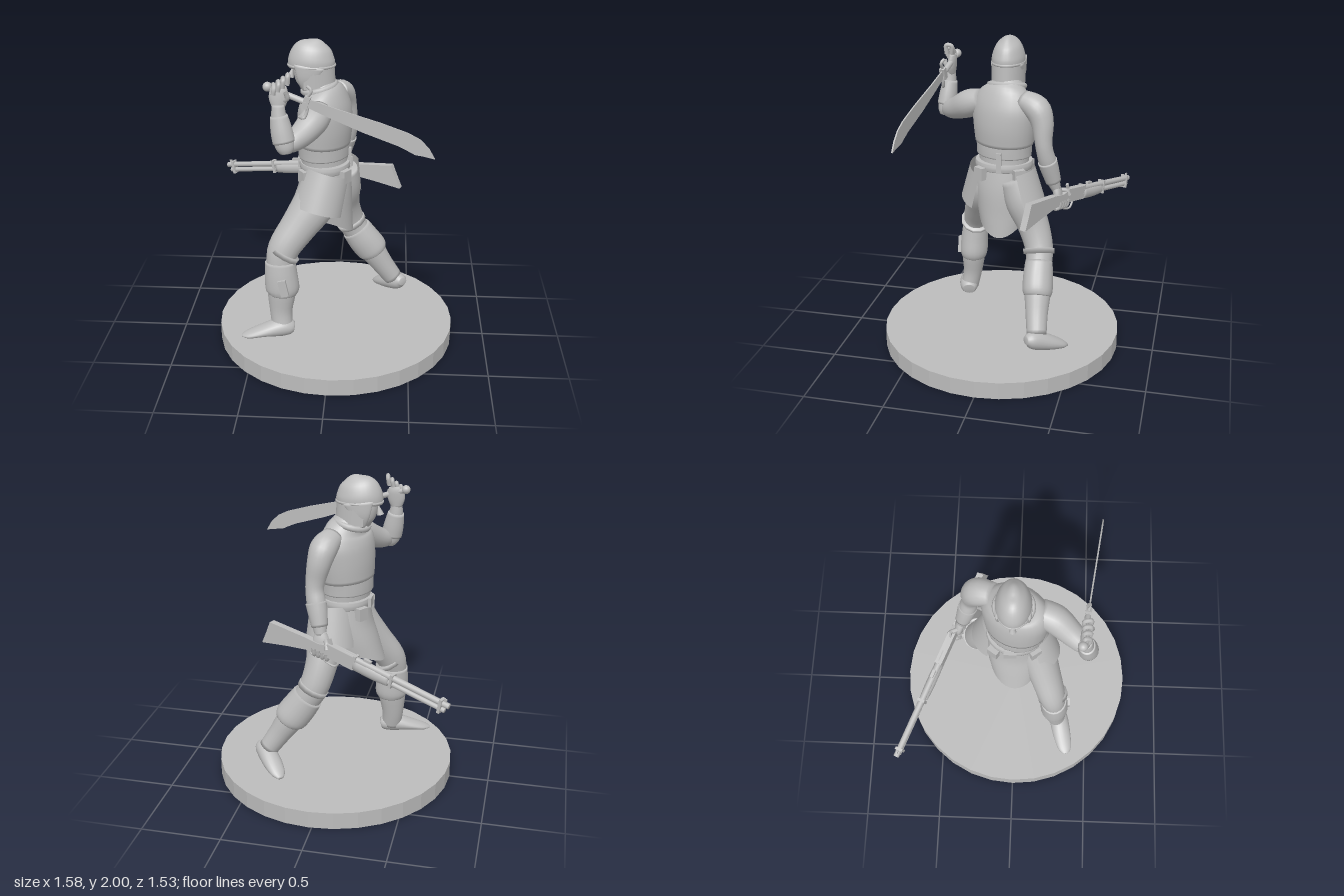
import * as THREE from 'three';

const V = (x, y, z) => new THREE.Vector3(x, y, z);
const stone = new THREE.MeshStandardMaterial({ color: 0xbcbcbc, side: THREE.DoubleSide });
stone.name = 'plain grey';

// Smooth skin through rings [x, y, z, radiusU, radiusV]; U follows the ref direction.
function loft(rings, { ref = V(-1, 0, 0), seg = 20, sub = 4, caps = true } = {}) {
  const rows = [], n = rings.length, at = i => rings[Math.max(0, Math.min(n - 1, i))];
  for (let i = 0; i < n - 1; i++) {
    for (let s = 0; s < sub; s++) {
      const t = s / sub, [a, b, c, d] = [at(i - 1), at(i), at(i + 1), at(i + 2)];
      rows.push(b.map((_, k) => 0.5 * (2 * b[k] + (c[k] - a[k]) * t + (2 * a[k] - 5 * b[k] + 4 * c[k] - d[k]) * t * t
        + (3 * b[k] - a[k] - 3 * c[k] + d[k]) * t ** 3)));
    }
  }
  rows.push(rings[n - 1]);
  const pos = [], idx = [], last = rows.length - 1;
  rows.forEach((r, i) => {
    const t = V(...rows[Math.min(i + 1, last)]).sub(V(...rows[Math.max(i - 1, 0)])).normalize();
    const u = ref.clone().addScaledVector(t, -ref.dot(t)).normalize(), v = t.clone().cross(u);
    for (let j = 0; j < seg; j++) {
      const a = j / seg * Math.PI * 2;
      const p = V(...r).addScaledVector(u, Math.cos(a) * r[3]).addScaledVector(v, Math.sin(a) * r[4]);
      pos.push(p.x, p.y, p.z);
      if (i < last) {
        const k = (j + 1) % seg, A = i * seg, B = A + seg;
        idx.push(A + j, A + k, B + k, A + j, B + k, B + j);
      }
    }
  });
  if (caps) {
    const c0 = pos.length / 3, e = last * seg;
    pos.push(...rows[0].slice(0, 3), ...rows[last].slice(0, 3));
    for (let j = 0; j < seg; j++) {
      const k = (j + 1) % seg;
      idx.push(c0, k, j, c0 + 1, e + j, e + k);
    }
  }
  const g = new THREE.BufferGeometry();
  g.setAttribute('position', new THREE.Float32BufferAttribute(pos, 3));
  g.setIndex(idx);
  g.computeVertexNormals();
  return g;
}

function add(parent, name, geo, p = [0, 0, 0], r = [0, 0, 0], s = [1, 1, 1]) {
  const m = new THREE.Mesh(geo, stone);
  m.name = name;
  m.position.set(...p);
  m.rotation.set(...r);
  m.scale.set(...s);
  parent.add(m);
  return m;
}
const box = (...a) => new THREE.BoxGeometry(...a);
const ball = r => new THREE.SphereGeometry(r, 16, 12);
const tube = (pts, r) => new THREE.TubeGeometry(new THREE.CatmullRomCurve3(pts.map(p => V(...p))), 20, r, 7);
// Straight rod between two points
const rod = (a, b, ra, rb = ra) => loft([[...a, ra, ra], [...b, rb, rb]], { ref: V(0.1, 0.2, 1), seg: 12, sub: 1 });
const plate = (pts, depth) => new THREE.ExtrudeGeometry(new THREE.Shape(pts.map(p => new THREE.Vector2(...p))),
  { depth, bevelEnabled: false }).translate(0, 0, -depth / 2);

function makeRifle() {
  const g = new THREE.Group();
  g.name = 'rifle';
  const X = V(1, 0.21, 0.41).normalize(), Z = X.clone().cross(V(0, 1, 0)).normalize(), Y = Z.clone().cross(X);
  g.quaternion.setFromRotationMatrix(new THREE.Matrix4().makeBasis(X, Y, Z));
  g.position.set(-0.785, 0.87, -0.715);
  add(g, 'barrel', rod([0, 0.02, 0], [0.72, 0.02, 0], 0.018, 0.021));
  add(g, 'magazineTube', rod([0.02, -0.018, 0], [0.7, -0.018, 0], 0.016));
  add(g, 'foreStock', loft([[0.4, -0.01, 0, 0.034, 0.026], [0.5, -0.012, 0, 0.04, 0.03], [0.64, -0.012, 0, 0.04, 0.028]], { ref: V(0, 1, 0) }));
  for (const x of [0.05, 0.38, 0.64]) add(g, 'barrelBand', box(0.018, 0.088, 0.046), [x, 0.002, 0]);
  add(g, 'frontSight', box(0.02, 0.02, 0.008), [0.03, 0.046, 0]);
  add(g, 'rearSight', box(0.05, 0.015, 0.02), [0.56, 0.048, 0]);
  add(g, 'receiver', box(0.2, 0.085, 0.045), [0.74, -0.003, 0]);
  add(g, 'hammer', box(0.02, 0.045, 0.012), [0.83, 0.05, 0], [0, 0, -0.5]);
  add(g, 'lever', tube([[0.74, -0.04, 0], [0.77, -0.09, 0], [0.84, -0.09, 0], [0.88, -0.075, 0], [0.95, -0.085, 0], [0.97, -0.055, 0]], 0.007));
  add(g, 'stock', plate([[0.82, 0.036], [0.9, 0.012], [1.0, 0.012], [1.27, -0.005], [1.285, -0.08], [1.305, -0.165], [1.12, -0.105], [0.98, -0.065], [0.82, -0.045]], 0.042));
  return g;
}

function makeSword() {
  const g = new THREE.Group();
  g.name = 'sword';
  g.position.z = 0.427;
  g.rotation.y = -0.14;
  add(g, 'blade', plate([[-0.14, 1.765], [0.05, 1.71], [0.3, 1.645], [0.46, 1.595], [0.53, 1.56], [0.58, 1.51], [0.615, 1.45],
    [0.55, 1.462], [0.5, 1.468], [0.46, 1.488], [0.4, 1.515], [0.2, 1.58], [0.03, 1.645], [-0.14, 1.715]], 0.009));
  add(g, 'grip', rod([-0.35, 1.815, 0], [-0.13, 1.738, 0], 0.018));
  add(g, 'pommel', ball(0.028), [-0.355, 1.817, 0]);
  add(g, 'crossGuard', tube([[-0.17, 1.66, 0.02], [-0.145, 1.645, 0.01], [-0.125, 1.69, 0], [-0.125, 1.76, 0], [-0.1, 1.81, 0], [-0.125, 1.83, -0.01]], 0.01));
  add(g, 'guardBlock', box(0.035, 0.075, 0.035), [-0.13, 1.738, 0], [0, 0, -0.33]);
  return g;
}

function makeHead() {
  const g = new THREE.Group();
  g.name = 'head';
  add(g, 'neck', rod([-0.06, 1.64, -0.01], [-0.11, 1.8, -0.01], 0.085, 0.075));
  add(g, 'face', loft([[-0.17, 1.68, -0.01, 0.03, 0.035], [-0.155, 1.72, -0.01, 0.075, 0.065], [-0.14, 1.79, -0.01, 0.105, 0.08], [-0.13, 1.88, -0.01, 0.11, 0.08]]));
  add(g, 'nose', new THREE.ConeGeometry(0.022, 0.07, 8), [-0.25, 1.795, -0.01], [0, 0, -0.25]);
  for (const s of [-1, 1]) add(g, 'cheekGuard', loft([[-0.15, 1.7, -0.01 + s * 0.07, 0.03, 0.014], [-0.15, 1.77, -0.01 + s * 0.087, 0.06, 0.016], [-0.14, 1.85, -0.01 + s * 0.09, 0.09, 0.014]]));
  // Dome with a low crest and a neck guard open at the face
  add(g, 'helmetDome', loft([[-0.13, 1.83, -0.01, 0.142, 0.102], [-0.13, 1.88, -0.01, 0.14, 0.1], [-0.125, 1.945, -0.01, 0.112, 0.076],
    [-0.12, 1.985, -0.01, 0.062, 0.035], [-0.12, 1.998, -0.01, 0.012, 0.008]], { seg: 28 }));
  add(g, 'helmetBand', new THREE.TorusGeometry(1, 0.06, 8, 32), [-0.13, 1.84, -0.01], [Math.PI / 2, 0, 0], [0.14, 0.1, 0.14]);
  add(g, 'neckGuard', new THREE.CylinderGeometry(1, 1.0, 0.13, 24, 4, true, -Math.PI * 0.1, Math.PI * 1.2), [-0.13, 1.775, -0.01], [0, 0, 0.06], [0.142, 1, 0.104]);
  return g;
}

export function createModel() {
  const model = new THREE.Group();
  model.name = 'warriorOnBase';

  // Faceted round base
  const disc = new THREE.CylinderGeometry(0.767, 0.767, 0.11, 32).toNonIndexed();
  disc.computeVertexNormals();
  add(model, 'base', disc, [0.02, 0.055, 0]);

  // Torso, turned slightly toward the rifle side
  const ref = V(-0.92, 0, -0.39);
  add(model, 'abdomen', loft([[-0.04, 1.06, 0, 0.14, 0.17], [-0.05, 1.2, 0, 0.14, 0.165], [-0.055, 1.3, 0, 0.14, 0.17], [-0.055, 1.42, 0, 0.14, 0.18]], { ref }));
  add(model, 'waistWrap', loft([[-0.055, 1.27, 0, 0.152, 0.182], [-0.055, 1.31, 0, 0.152, 0.184], [-0.055, 1.36, 0, 0.15, 0.188]], { ref }));
  add(model, 'vest', loft([[-0.055, 1.35, 0, 0.155, 0.195], [-0.05, 1.46, 0, 0.16, 0.208], [-0.05, 1.57, 0, 0.15, 0.212],
    [-0.055, 1.65, -0.005, 0.125, 0.18], [-0.07, 1.7, -0.01, 0.1, 0.12], [-0.08, 1.735, -0.01, 0.085, 0.09]], { ref, seg: 28 }));
  add(model, 'collar', new THREE.TorusGeometry(0.1, 0.02, 8, 24), [-0.085, 1.7, -0.01], [Math.PI / 2, 0.25, 0], [1, 1.05, 1]);
  add(model, 'belt', loft([[-0.05, 1.185, 0, 0.156, 0.18], [-0.05, 1.21, 0, 0.16, 0.184], [-0.05, 1.235, 0, 0.156, 0.18]], { seg: 28 }));
  add(model, 'backStrap', box(0.02, 0.13, 0.03), [0.105, 1.25, 0]);
  add(model, 'buckle', box(0.02, 0.06, 0.08), [-0.21, 1.21, -0.03]);
  for (const [x, y, z, a] of [[0.08, 1.17, 0.12, -0.6], [0.08, 1.17, -0.12, 0.6], [-0.17, 1.16, 0.12, 0.6], [-0.17, 1.16, -0.13, -0.6]])
    add(model, 'beltPouch', box(0.05, 0.08, 0.07), [x, y, z], [0, a, 0]);

  // Tunic skirt, its hem lifted over the thighs
  const skirt = loft([[-0.05, 1.2, 0, 0.148, 0.172], [-0.05, 1.05, 0, 0.17, 0.185], [-0.07, 0.9, 0, 0.195, 0.18], [-0.085, 0.785, 0, 0.215, 0.165]], { caps: false, seg: 36 });
  const sp = skirt.attributes.position;
  for (let i = 0; i < sp.count; i++) {
    const y = sp.getY(i), z = sp.getZ(i);
    sp.setY(i, y + 3.2 * z * z * Math.max(0, 1.2 - y) / 0.4);
  }
  skirt.computeVertexNormals();
  add(model, 'tunicSkirt', skirt);

  // Hip guards
  for (const [x, s] of [[-0.06, 1], [0.02, -1]])
    add(model, 'hipGuard', new THREE.CylinderGeometry(0.145, 0.165, 0.25, 16, 3, true, s > 0 ? -1.2 : Math.PI - 1.2, 2.4),
      [x, 1.06, s * 0.095], [-s * 0.22, 0, s > 0 ? -0.25 : 0]);

  // Left leg steps forward
  add(model, 'leftLeg', loft([[-0.06, 1.15, 0.08, 0.12, 0.09], [-0.09, 1.02, 0.13, 0.138, 0.112], [-0.2, 0.86, 0.19, 0.115, 0.1], [-0.295, 0.72, 0.24, 0.1, 0.088],
    [-0.315, 0.6, 0.262, 0.088, 0.076], [-0.31, 0.45, 0.27, 0.092, 0.08], [-0.315, 0.3, 0.28, 0.072, 0.064], [-0.305, 0.19, 0.3, 0.066, 0.06]]));
  add(model, 'leftBootCuff', loft([[-0.315, 0.64, 0.258, 0.096, 0.084], [-0.312, 0.55, 0.265, 0.104, 0.09], [-0.305, 0.46, 0.268, 0.108, 0.092], [-0.305, 0.42, 0.27, 0.092, 0.082]]));
  add(model, 'leftFoot', loft([[-0.235, 0.185, 0.29, 0.035, 0.04], [-0.26, 0.19, 0.295, 0.05, 0.055], [-0.32, 0.195, 0.31, 0.06, 0.064], [-0.43, 0.178, 0.335, 0.036, 0.06],
    [-0.52, 0.16, 0.357, 0.02, 0.045], [-0.56, 0.155, 0.365, 0.006, 0.015]], { ref: V(0, 1, 0) }));
  add(model, 'leftBootFlap', box(0.05, 0.11, 0.02), [-0.29, 0.5, 0.36], [0, 0, 0.2]);
  add(model, 'leftStrap', rod([-0.285, 0.7, 0.244], [-0.3, 0.675, 0.25], 0.102, 0.1));

  // Right leg trails, heel raised
  add(model, 'rightLeg', loft([[0.04, 1.14, -0.09, 0.11, 0.09], [0.05, 1.0, -0.14, 0.12, 0.112], [0.06, 0.85, -0.21, 0.102, 0.1], [0.1, 0.7, -0.26, 0.094, 0.088],
    [0.17, 0.58, -0.27, 0.088, 0.08], [0.24, 0.48, -0.28, 0.09, 0.084], [0.32, 0.36, -0.29, 0.073, 0.07], [0.395, 0.25, -0.305, 0.064, 0.062]]));
  add(model, 'rightBootCuff', loft([[0.14, 0.63, -0.268, 0.1, 0.086], [0.19, 0.555, -0.272, 0.108, 0.093], [0.245, 0.48, -0.28, 0.108, 0.094], [0.265, 0.45, -0.282, 0.09, 0.084]]));
  add(model, 'rightFoot', loft([[0.465, 0.24, -0.25, 0.025, 0.03], [0.445, 0.235, -0.275, 0.05, 0.05], [0.405, 0.215, -0.315, 0.058, 0.06], [0.345, 0.18, -0.385, 0.045, 0.06],
    [0.295, 0.15, -0.445, 0.026, 0.046], [0.27, 0.135, -0.475, 0.008, 0.018]], { ref: V(0, 1, 0) }));
  add(model, 'rightKneeKnot', box(0.04, 0.03, 0.05), [0.185, 0.64, -0.3], [0, 0, 0.5]);
  add(model, 'rightStrap', rod([0.1, 0.7, -0.258], [0.115, 0.67, -0.262], 0.1, 0.098));

  // Left arm, bent up to hold the sword
  add(model, 'leftUpperArm', loft([[-0.07, 1.6, 0.14, 0.08, 0.07], [-0.1, 1.565, 0.23, 0.088, 0.088], [-0.16, 1.515, 0.32, 0.076, 0.074], [-0.215, 1.485, 0.39, 0.06, 0.06], [-0.245, 1.475, 0.425, 0.04, 0.04]]));
  add(model, 'leftForearm', loft([[-0.245, 1.435, 0.435, 0.035, 0.035], [-0.25, 1.47, 0.43, 0.056, 0.05], [-0.265, 1.54, 0.422, 0.06, 0.052], [-0.285, 1.64, 0.41, 0.046, 0.042], [-0.29, 1.72, 0.405, 0.036, 0.03]]));
  add(model, 'leftBracer', loft([[-0.258, 1.5, 0.427, 0.066, 0.06], [-0.272, 1.57, 0.418, 0.064, 0.057], [-0.287, 1.655, 0.408, 0.052, 0.047]]));
  add(model, 'leftPalm', loft([[-0.29, 1.7, 0.4, 0.036, 0.026], [-0.288, 1.75, 0.395, 0.055, 0.028], [-0.285, 1.8, 0.39, 0.052, 0.026], [-0.28, 1.83, 0.388, 0.04, 0.018]]));
  for (let i = 0; i < 4; i++) {
    const x = -0.325 + i * 0.027, y = 1.8 + i * 0.012;
    add(model, 'leftFinger', tube([[x, y, 0.385], [x + 0.01, y + 0.035 + i * 0.006, 0.39 - i * 0.003], [x + 0.015, y + 0.015 + i * 0.014, 0.415], [x + 0.01, y - 0.02 + i * 0.008, 0.415]], 0.014));
  }
  add(model, 'leftThumb', tube([[-0.26, 1.74, 0.4], [-0.235, 1.765, 0.42], [-0.24, 1.8, 0.43]], 0.015));

  // Right arm, hanging down to the rifle
  add(model, 'rightArm', loft([[0.01, 1.64, -0.13, 0.07, 0.06], [0.04, 1.6, -0.22, 0.084, 0.08], [0.06, 1.52, -0.26, 0.075, 0.07], [0.08, 1.42, -0.272, 0.062, 0.056],
    [0.085, 1.35, -0.282, 0.056, 0.052], [0.07, 1.27, -0.3, 0.058, 0.054], [0.045, 1.15, -0.33, 0.045, 0.042], [0.035, 1.09, -0.35, 0.034, 0.03]]));
  add(model, 'rightBracer', loft([[0.074, 1.28, -0.298, 0.064, 0.06], [0.06, 1.22, -0.313, 0.06, 0.056], [0.044, 1.14, -0.333, 0.05, 0.048]]));
  add(model, 'rightPalm', loft([[0.035, 1.11, -0.345, 0.034, 0.028], [0.03, 1.06, -0.36, 0.052, 0.028], [0.03, 1.01, -0.365, 0.048, 0.026], [0.03, 0.985, -0.37, 0.03, 0.016]]));
  for (let i = 0; i < 4; i++) {
    const x = -0.015 + i * 0.028, y = 1.0 + i * 0.004, z = -0.385 + i * 0.011;
    add(model, 'rightFinger', tube([[x, y + 0.02, z + 0.025], [x, y - 0.035, z + 0.02], [x, y - 0.04, z - 0.02], [x, y + 0.005, z - 0.035]], 0.014));
  }
  add(model, 'rightThumb', tube([[0.0, 1.07, -0.365], [-0.015, 1.06, -0.405], [-0.02, 1.03, -0.425]], 0.015));

  model.add(makeHead(), makeRifle(), makeSword());
  return model;
}
